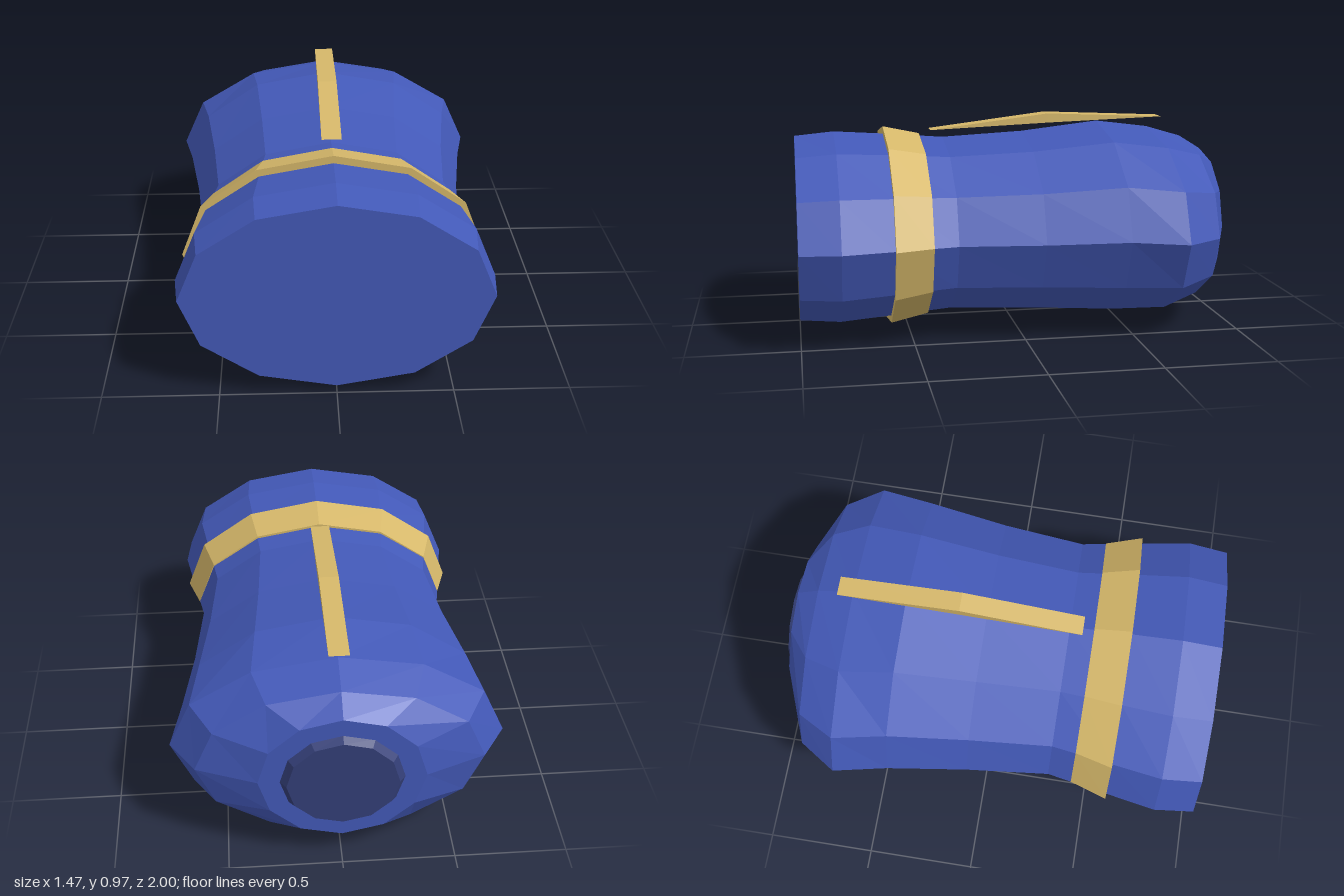
import * as THREE from 'three';

const SIDES = 12;

// Skin through oval rings listed front to back as [z, halfWidth, top, bottom, middle]
function loft(rings) {
  const pos = [];
  const index = [];
  for (const [z, rx, top, bottom, mid = 0.465] of rings) {
    for (let i = 0; i < SIDES; i++) {
      const a = (i / SIDES) * Math.PI * 2;
      const c = Math.cos(a);
      pos.push(rx * Math.sin(a), mid + c * (c > 0 ? top - mid : mid - bottom), z);
    }
  }
  const last = (rings.length - 1) * SIDES;
  const front = pos.length / 3;
  const back = front + 1;
  pos.push(0, 0.465, rings[0][0], 0, 0.465, rings[rings.length - 1][0]);
  for (let i = 0; i < SIDES; i++) {
    const j = (i + 1) % SIDES;
    for (let k = 0; k < last; k += SIDES) {
      const a = k + i, b = k + j, c = b + SIDES, d = a + SIDES;
      index.push(a, b, c, a, c, d);
    }
    index.push(front, j, i, back, last + i, last + j);
  }
  const indexed = new THREE.BufferGeometry();
  indexed.setAttribute('position', new THREE.Float32BufferAttribute(pos, 3));
  indexed.setIndex(index);
  const geometry = indexed.toNonIndexed();
  geometry.computeVertexNormals();
  return geometry;
}

function material(name, color) {
  const m = new THREE.MeshStandardMaterial({ color, flatShading: true });
  m.name = name;
  return m;
}

export function createModel() {
  const model = new THREE.Group();
  model.name = 'torso';
  const blue = material('blue cloth', 0x4359b8);
  const navy = material('dark blue collar', 0x343f78);
  const gold = material('gold trim', 0xd6b86a);

  const add = (name, geometry, mat) => {
    const mesh = new THREE.Mesh(geometry, mat);
    mesh.name = name;
    model.add(mesh);
  };

  // Hips, waist, chest and shoulders
  add('body', loft([
    [1.0, 0.66, 0.89, 0.04],
    [0.82, 0.68, 0.907, 0.024],
    [0.59, 0.64, 0.892, 0.04],
    [0.31, 0.59, 0.87, 0.06],
    [-0.07, 0.63, 0.89, 0.045],
    [-0.44, 0.685, 0.932, 0.024, 0.475],
    [-0.69, 0.735, 0.9, 0.03],
    [-0.86, 0.625, 0.85, 0.085],
    [-0.965, 0.36, 0.785, 0.145],
  ]), blue);

  // Neck ring
  add('collar', loft([
    [-0.96, 0.27, 0.705, 0.23],
    [-1.0, 0.24, 0.685, 0.25],
  ]), navy);

  // Flared band around the waist
  add('belt', loft([
    [0.59, 0.665, 0.926, 0.004],
    [0.42, 0.61, 0.89, 0.04],
  ]), gold);

  // Slim raised strip along the upper side
  const side = new THREE.Shape([
    new THREE.Vector2(-0.37, 0.908),
    new THREE.Vector2(0.19, 0.932),
    new THREE.Vector2(0.75, 0.951),
    new THREE.Vector2(0.19, 0.976),
  ]);
  const strip = new THREE.ExtrudeGeometry(side, { depth: 0.09, bevelEnabled: false });
  strip.translate(0, 0, -0.045);
  strip.rotateY(Math.PI / 2);
  add('strip', strip, gold);

  return model;
}
